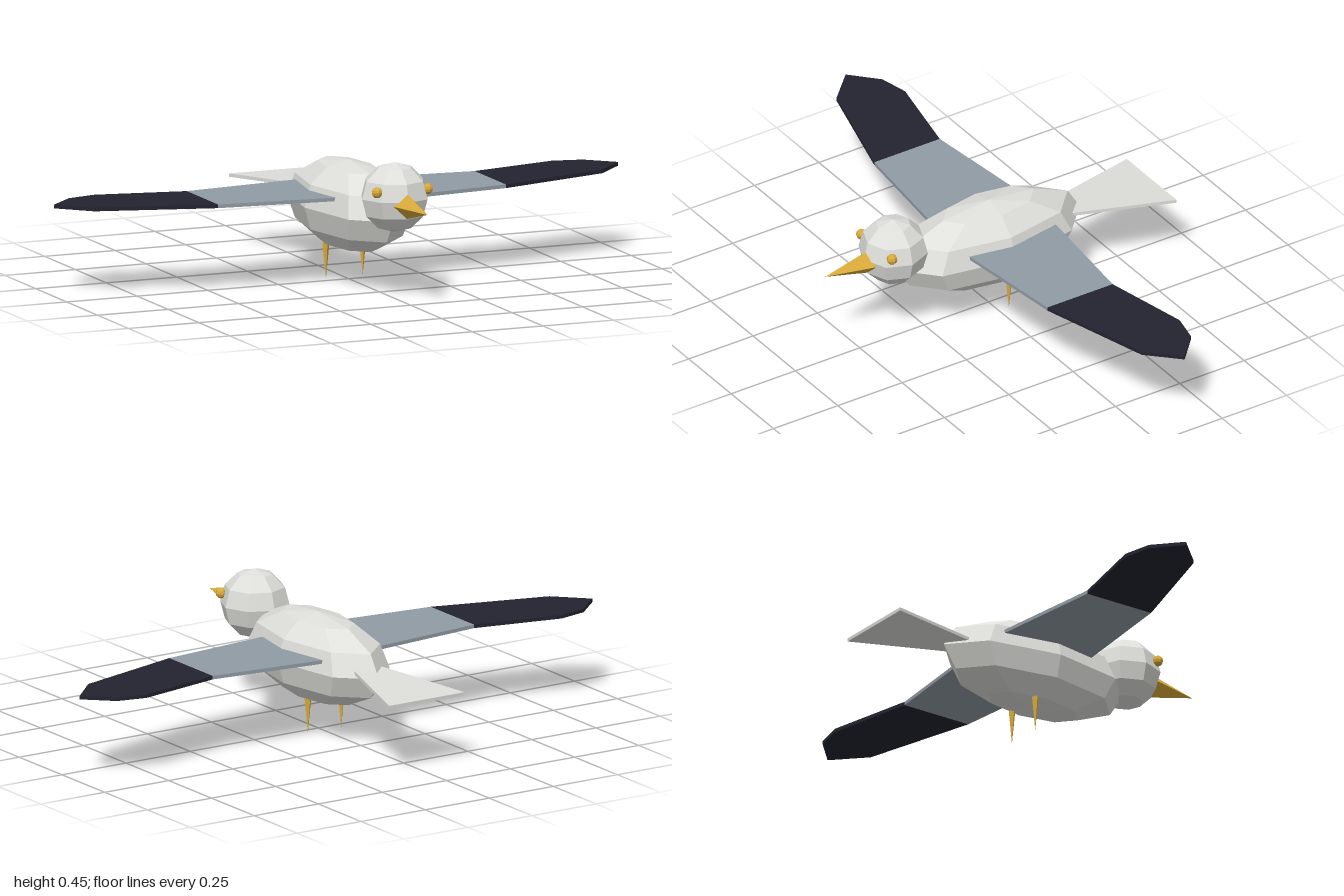
import * as THREE from 'three';

const material = (name, color, flatShading = true) => {
  const m = new THREE.MeshStandardMaterial({ color, flatShading });
  m.name = name;
  return m;
};

export function createModel() {
  const bird = new THREE.Group();
  bird.name = 'bird';
  const white = material('white plumage', 0xdededa);
  const grey = material('grey wing', 0x919ba5);
  const black = material('black wing tip', 0x232330);
  const gold = material('golden yellow', 0xd8aa3a);

  const add = (name, geometry, mat, x, y, z) => {
    const mesh = new THREE.Mesh(geometry, mat);
    mesh.name = name;
    mesh.position.set(x, y, z);
    bird.add(mesh);
    return mesh;
  };

  // Flat horizontal plate from [x, z] corners, its lower face at y = 0
  const plate = (corners, thickness) => {
    const shape = new THREE.Shape(corners.map(([x, z]) => new THREE.Vector2(x, -z)));
    return new THREE.ExtrudeGeometry(shape, { depth: thickness, bevelEnabled: false })
      .rotateX(-Math.PI / 2);
  };

  // Body and head
  add('body', new THREE.SphereGeometry(1, 8, 6).scale(0.157, 0.148, 0.355), white, 0, 0.247, 0);
  add('head', new THREE.SphereGeometry(0.115, 8, 6), white, 0, 0.335, 0.37);

  // Four-sided beak pointing forward
  add('beak', new THREE.ConeGeometry(0.046, 0.18, 4).rotateX(Math.PI / 2), gold, 0, 0.322, 0.545);

  // Tail fan, sloping slightly down to the back
  const tail = plate([[-0.042, 0], [0.042, 0], [0.147, -0.385], [-0.147, -0.385]], 0.011);
  add('tail', tail, white, 0, 0.26, -0.25).rotation.x = -0.06;

  for (const side of [1, -1]) {
    const label = side > 0 ? 'left' : 'right';
    const mirror = (corners) => corners.map(([x, z]) => [side * x, z]);

    // Wing: grey inner panel and dark outer panel
    const wingY = side > 0 ? 0.279 : 0.291;
    const inner = [[0.08, 0.154], [0.51, 0.107], [0.51, -0.147], [0.08, -0.193]];
    const outer = [[0.51, 0.107], [0.9, -0.003], [1, -0.104], [0.91, -0.188],
      [0.81, -0.21], [0.51, -0.147]];
    add(label + 'WingInner', plate(mirror(inner), 0.012), grey, 0, wingY, 0);
    add(label + 'WingTip', plate(mirror(outer), 0.012), black, 0, wingY, 0);

    // Eye and tapering leg
    add(label + 'Eye', new THREE.SphereGeometry(0.018, 8, 6), gold, side * 0.09, 0.367, 0.434);
    add(label + 'Leg', new THREE.ConeGeometry(0.013, 0.12, 4).rotateX(Math.PI),
      gold, side * 0.065, 0.06, -0.037);
  }
  return bird;
}
